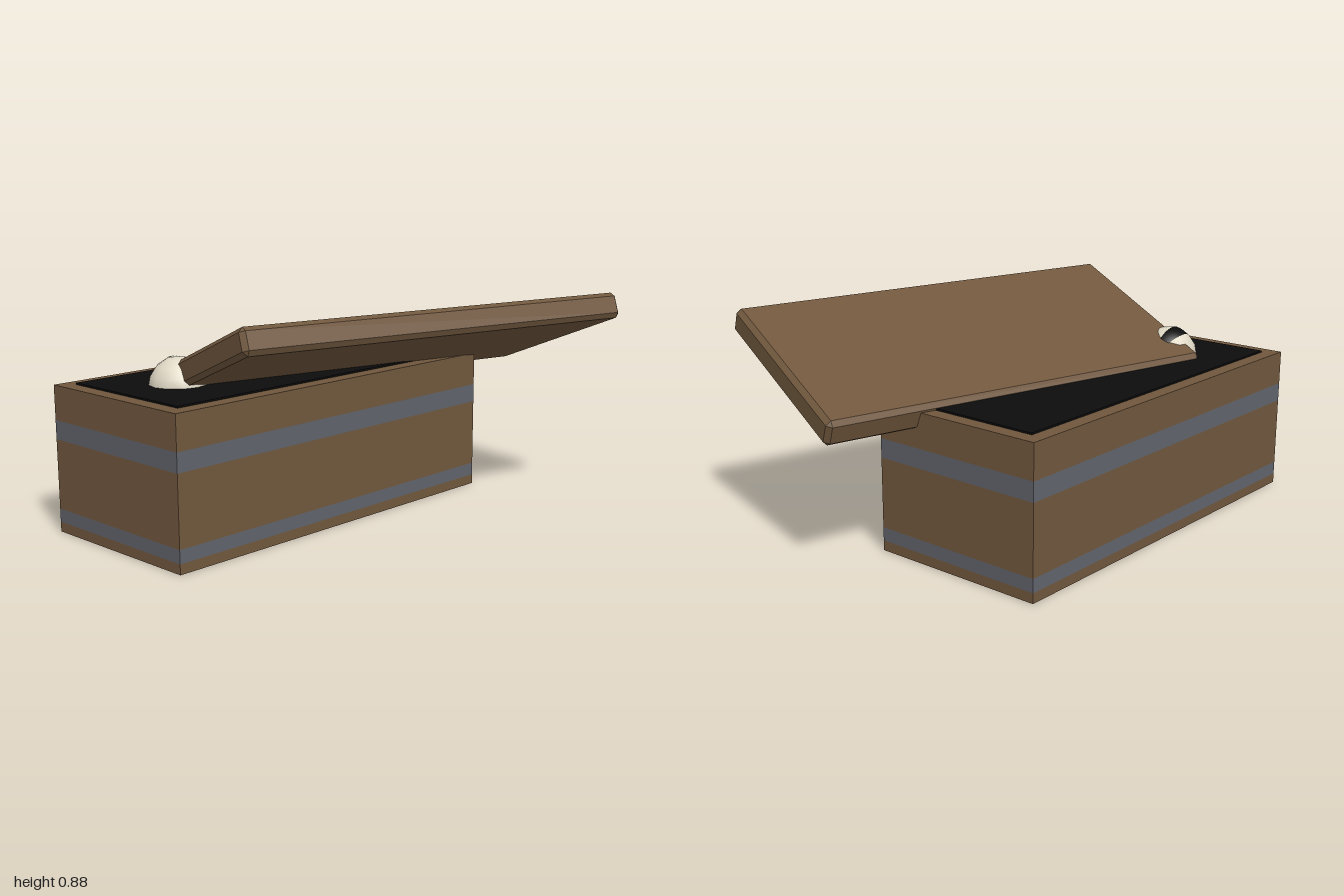
import * as THREE from 'three';
import { ConvexGeometry } from 'three/addons/geometries/ConvexGeometry.js';

const material = (name, color) => {
  const m = new THREE.MeshStandardMaterial({ color });
  m.name = name;
  return m;
};

// Box with every edge cut at an angle
function chamferedBox(w, h, d, c) {
  const points = [];
  for (const sx of [-1, 1]) for (const sy of [-1, 1]) for (const sz of [-1, 1]) {
    const x = w / 2, y = h / 2, z = d / 2;
    points.push(
      new THREE.Vector3(sx * x, sy * (y - c), sz * (z - c)),
      new THREE.Vector3(sx * (x - c), sy * y, sz * (z - c)),
      new THREE.Vector3(sx * (x - c), sy * (y - c), sz * z)
    );
  }
  return new ConvexGeometry(points);
}

export function createModel() {
  const wood = material('brown wood', 0x70573d);
  const metal = material('grey metal', 0x60636b);
  const black = material('black', 0x0c0c0c);
  const ivory = material('ivory', 0xe0d8c5);

  const model = new THREE.Group();
  model.name = 'openChest';
  const add = (name, geometry, mat, x, y, z, parent = model) => {
    const mesh = new THREE.Mesh(geometry, mat);
    mesh.name = name;
    mesh.position.set(x, y, z);
    parent.add(mesh);
    return mesh;
  };

  // Chest body: flush layers of wood and metal banding
  const body = new THREE.Group();
  body.name = 'chestBody';
  model.add(body);
  const levels = [0, 0.04, 0.093, 0.37, 0.446, 0.583];
  for (let i = 0; i < levels.length - 1; i++) {
    const h = levels[i + 1] - levels[i];
    const banded = i % 2 === 1;
    add(banded ? 'metalBand' : 'woodLayer', new THREE.BoxGeometry(1.64, h, 0.732),
      banded ? metal : wood, -0.18, levels[i] + h / 2, -0.314, body);
  }

  // Dark opening, framed by the wooden rim
  add('darkOpening', new THREE.BoxGeometry(1.52, 0.008, 0.61), black, -0.18, 0.586, -0.316);

  // Lid pushed askew, raised at the front
  const lid = add('lid', chamferedBox(1.715, 0.105, 0.79, 0.018), wood, 0.075, 0.698, 0.088);
  lid.rotation.order = 'YXZ';
  lid.rotation.set(-0.36, -0.251, 0);

  // Pale ball peeping past the lid corner, with a dark slit
  const ball = new THREE.Group();
  ball.name = 'peepingEye';
  ball.position.set(-0.68, 0.58, -0.328);
  model.add(ball);
  add('eyeball', new THREE.SphereGeometry(0.115, 12, 8), ivory, 0, 0, 0, ball);
  const slit = new THREE.SphereGeometry(0.117, 6, 8, -0.65, 0.52, 0.5, 1.3);
  slit.rotateZ(-Math.PI / 2);
  add('eyeSlit', slit, black, 0, 0, 0, ball);

  return model;
}
